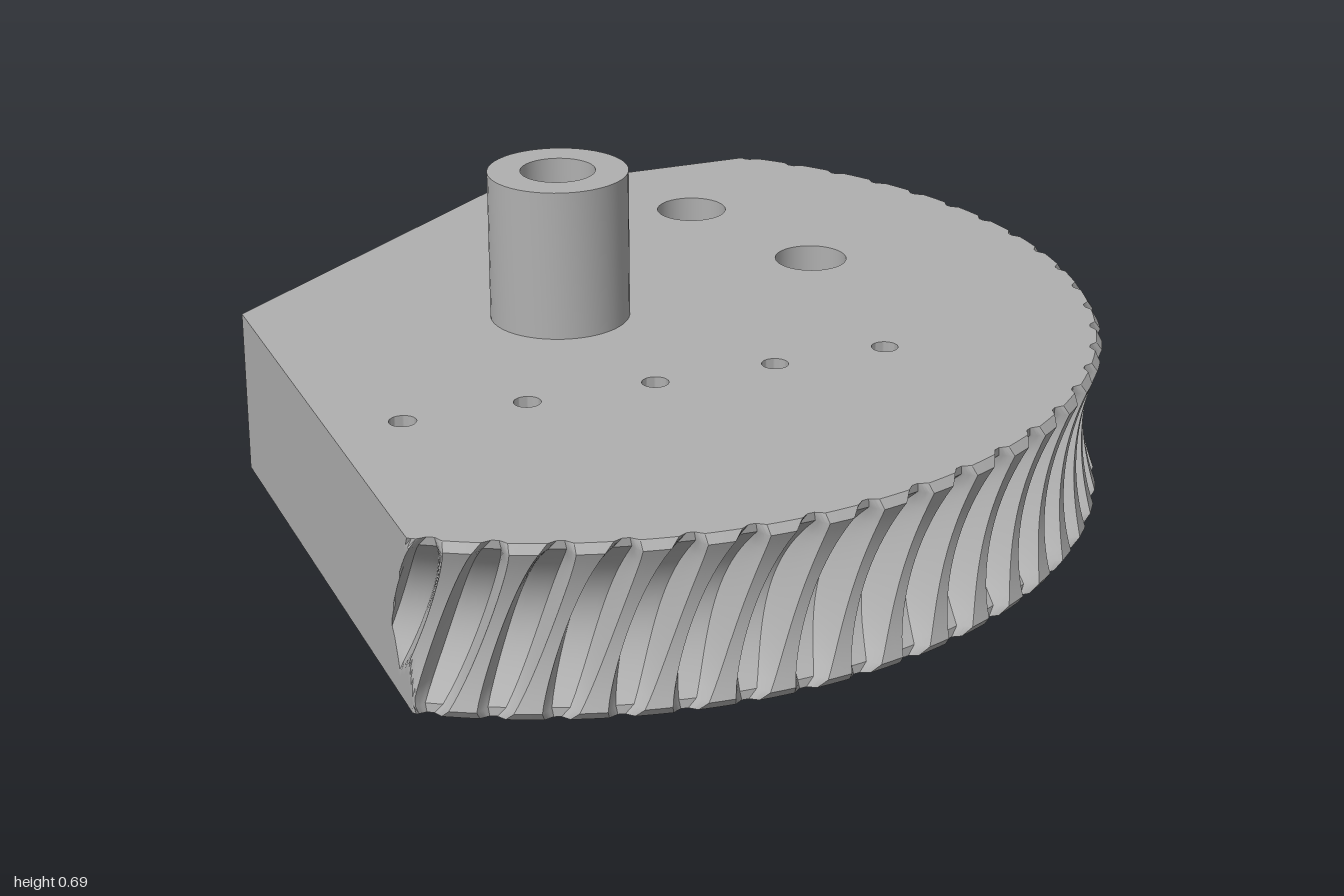
import * as THREE from 'three';
import { toCreasedNormals } from 'three/addons/utils/BufferGeometryUtils.js';

const H = 0.36, MID = H / 2;            // plate thickness
const CX = -0.265, CZ = -0.165;         // gear axis
const R = 1.165, PITCH = Math.PI / 30;  // 60 teeth on the full wheel
const LEFT = 0.635, BACK = 0.835;       // distance from the axis to the flat cuts
const LO = -Math.asin(LEFT / 1.02), HI = Math.acos(-BACK / 1.02);
const CORNERS = [[-0.14, -1], [-0.9, -0.42]];
const BORE = 0.08, HUB = 0.15;
const HOLES = [[0.25, -0.69, 0.08], [0.375, -0.28, 0.08],
  ...[-0.75, -0.49, -0.215, 0.05, 0.3].map(x => [x, 0.27, 0.028])];

// Outline of the plate at height y: helical teeth on the arc, then the flat cuts
function outline(y) {
  const off = Math.abs(y - MID), bulge = 1 - (off / MID) ** 2;
  const tip = R - 0.04 * bulge - 0.02 * Math.max(0, (off - 0.162) / 0.018);
  const depth = 0.012 + 0.075 * bulge;
  const half = 0.2 + 0.19 * Math.sqrt(bulge);   // groove half width in pitches
  const stops = [[-0.5, 0], [-half, 0], [-half + 0.14, 1], [half - 0.14, 1], [half, 0], [0.5, 0]];
  const shift = -0.085 + 0.115 * (y - MID) / H;
  const pts = [];
  for (let tooth = -7; tooth <= 26; tooth++) {
    for (let k = 0; k < 5; k++) {
      for (let m = 0; m < 4; m++) {
        const t = m / 4, [s0, d0] = stops[k], [s1, d1] = stops[k + 1];
        const s = s0 + (s1 - s0) * t, d = d0 + (d1 - d0) * t;
        const raw = (tooth + s) * PITCH + shift;
        const a = Math.min(HI, Math.max(LO, raw));
        let r = raw === a ? tip - depth * d : R;
        if (Math.sin(a) < 0) r = Math.min(r, -LEFT / Math.sin(a));
        if (Math.cos(a) < 0) r = Math.min(r, -BACK / Math.cos(a));
        pts.push([CX + r * Math.sin(a), CZ + r * Math.cos(a)]);
      }
    }
  }
  return [...pts, ...CORNERS];
}

// Side wall, lofted through the outlines
function wallGeometry() {
  const levels = [0, 0.018];
  for (let i = 1; i < 18; i++) levels.push(0.018 + (H - 0.036) * i / 18);
  levels.push(H - 0.018, H);
  const rows = levels.map(y => outline(y).map(([x, z]) => new THREE.Vector3(x, y, z)));
  const pos = [], n = rows[0].length, tri = new THREE.Triangle();
  const add = (a, b, c) => {
    if (tri.set(a, b, c).getArea() > 1e-9) for (const p of [a, b, c]) pos.push(p.x, p.y, p.z);
  };
  for (let j = 0; j < rows.length - 1; j++) {
    for (let i = 0; i < n; i++) {
      const k = (i + 1) % n;
      const a = rows[j][i], b = rows[j][k], c = rows[j + 1][k], d = rows[j + 1][i];
      add(a, b, d);
      add(b, c, d);
    }
  }
  const g = new THREE.BufferGeometry();
  g.setAttribute('position', new THREE.Float32BufferAttribute(pos, 3));
  return toCreasedNormals(g, 0.5);
}

// Flat face of the plate with its holes; up is 1 for the top, -1 for the bottom
function faceGeometry(y, up, bore) {
  const pts = outline(y).map(([x, z]) => new THREE.Vector2(x, -up * z));
  const clean = pts.filter((p, i) => i === 0 || p.distanceTo(pts[i - 1]) > 1e-5);
  const shape = new THREE.Shape(clean);
  for (const [x, z, r] of [...HOLES, [CX, CZ, bore]]) {
    shape.holes.push(new THREE.Path().absarc(x, -up * z, r, 0, Math.PI * 2, true));
  }
  return new THREE.ShapeGeometry(shape, 24).rotateX(-up * Math.PI / 2).translate(0, y, 0);
}

function lathe(profile) {
  const g = new THREE.LatheGeometry(profile.map(p => new THREE.Vector2(...p)), 48);
  return toCreasedNormals(g, 0.6);
}

export function createModel() {
  const group = new THREE.Group();
  const metal = new THREE.MeshStandardMaterial({ color: 0xb0b0b0 });
  metal.name = 'grey metal';
  const add = (name, geometry, x = 0, z = 0) => {
    const mesh = new THREE.Mesh(geometry, metal);
    mesh.name = name;
    mesh.position.set(x, 0, z);
    group.add(mesh);
  };

  // Toothed plate
  add('toothedRim', wallGeometry());
  add('topFace', faceGeometry(H, 1, HUB));
  add('bottomFace', faceGeometry(0, -1, BORE));

  // Hub with a bore running through the plate
  add('hub', lathe([[HUB, H], [HUB, 0.685], [BORE, 0.685], [BORE, 0]]), CX, CZ);

  // Walls of the drilled holes
  HOLES.forEach(([x, z, r], i) => add('holeWall' + (i + 1), lathe([[r, H], [r, 0]]), x, z));
  return group;
}
